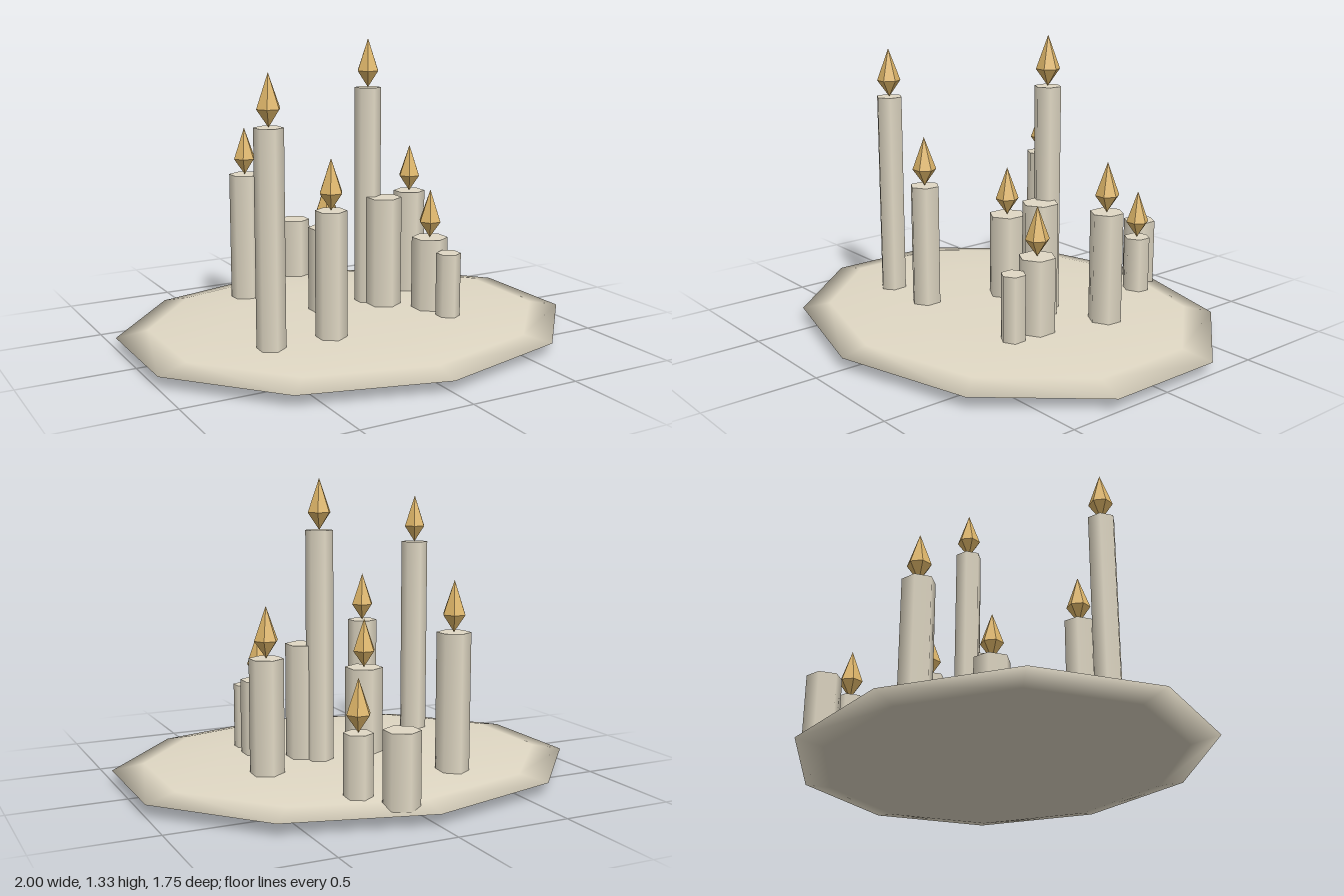
import * as THREE from 'three';

const wax = new THREE.MeshStandardMaterial({ color: 0xe0d8c4 });
wax.name = 'cream wax';
const fire = new THREE.MeshStandardMaterial({ color: 0xdcb468, flatShading: true });
fire.name = 'amber flame';

// x, z, radius, top height, burning
const CANDLES = [
  [-0.508, 0.275, 0.062, 1.01, true],
  [-0.29, -0.465, 0.073, 0.685, true],
  [-0.23, 0.282, 0.068, 0.645, true],
  [-0.068, -0.063, 0.085, 0.485, true],
  [0.165, -0.098, 0.06, 1.105, true],
  [0.207, -0.022, 0.082, 0.605, false],
  [0.23, -0.612, 0.061, 0.34, true],
  [0.11, -0.752, 0.076, 0.37, false],
  [0.45, -0.19, 0.074, 0.585, true],
  [0.363, 0.129, 0.082, 0.43, true],
  [0.373, 0.268, 0.055, 0.385, false],
];
const CANDLE_BASE = 0.06;

function createPlate() {
  // flattened ten-sided ball, one corner pointing forward
  const geometry = new THREE.SphereGeometry(1, 10, 6);
  geometry.rotateY(Math.PI / 2);
  geometry.scale(1.0515, 0.052, 0.875);
  geometry.translate(0, 0.052, 0);
  const plate = new THREE.Mesh(geometry, wax);
  plate.name = 'plate';
  return plate;
}

function createFlame() {
  // six-sided teardrop with corners on the x axis
  const profile = [[0, 0], [0.053, 0.075], [0, 0.22]].map(([r, y]) => new THREE.Vector2(r, y));
  const flame = new THREE.Mesh(new THREE.LatheGeometry(profile, 6, Math.PI / 6), fire);
  flame.name = 'flame';
  return flame;
}

function createCandle([x, z, radius, top, burning]) {
  const candle = new THREE.Group();
  candle.name = 'candle';
  candle.position.set(x, 0, z);

  const height = top - CANDLE_BASE;
  const stick = new THREE.Mesh(new THREE.CylinderGeometry(radius, radius, height, 6), wax);
  stick.name = 'candleStick';
  stick.position.y = CANDLE_BASE + height / 2;
  candle.add(stick);

  if (burning) {
    const flame = createFlame();
    flame.position.y = top;
    candle.add(flame);
  }
  return candle;
}

export function createModel() {
  const model = new THREE.Group();
  model.name = 'candlePlate';
  model.add(createPlate());
  for (const spec of CANDLES) model.add(createCandle(spec));
  return model;
}
